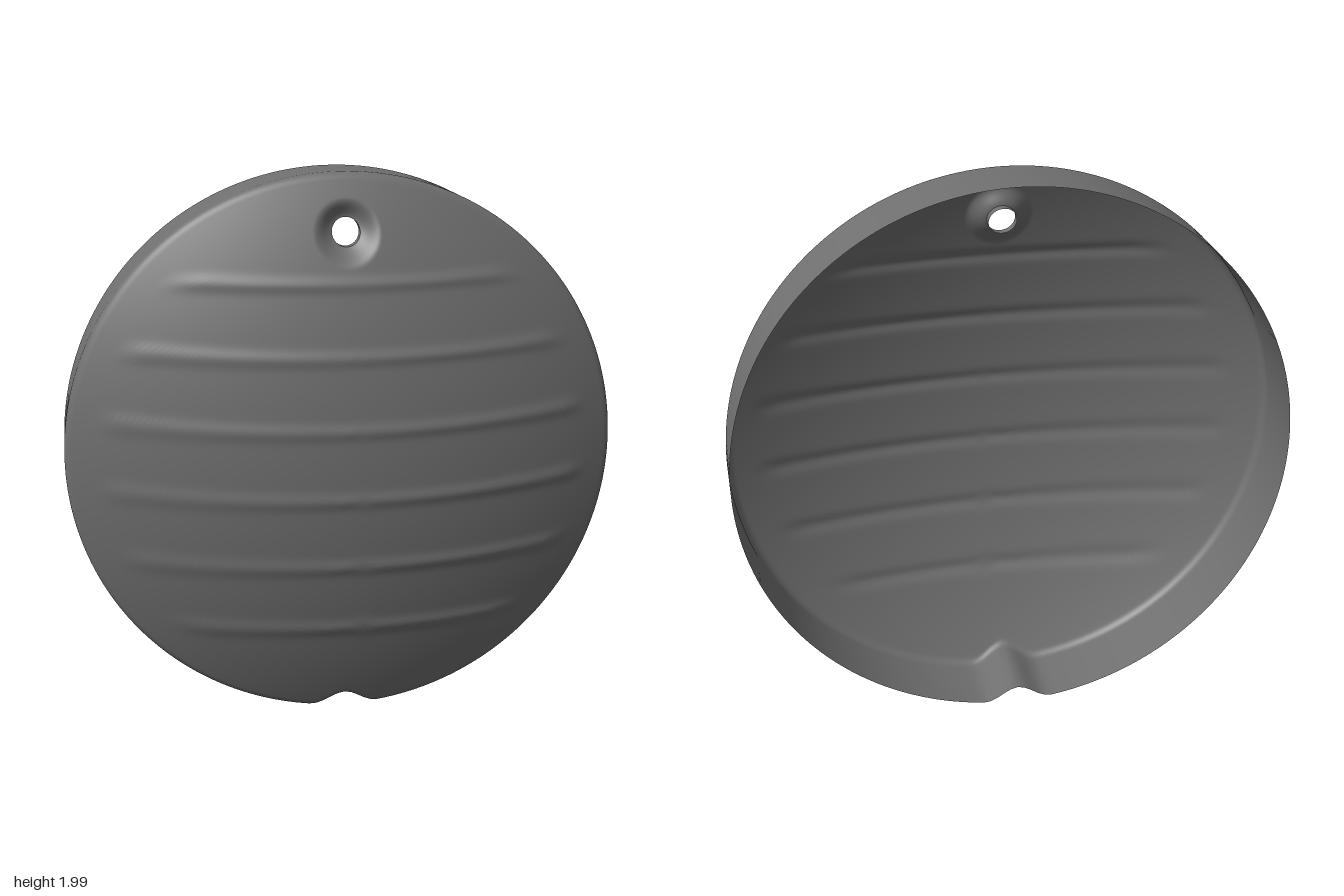
import * as THREE from 'three';

const CENTER_Y = 0.993, HOLE_Y = 1.79, HOLE_R = 0.05, BACK_Z = -0.25;
const SEGMENTS = 240, RINGS = 130, INSET = 0.975;
const RIBS = [0.36, 0.61, 0.865, 1.115, 1.37, 1.62];
const smooth = THREE.MathUtils.smoothstep;

// Round outline with a small bell-shaped notch at the bottom
function outline(angle, scale = 1) {
  const x = Math.cos(angle), y = Math.sin(angle);
  const notch = y < 0 && Math.abs(x) < 0.13 ? 0.03 * (1 + Math.cos(Math.PI * x / 0.13)) : 0;
  const r = (1 - notch) * scale;
  return [x * r, CENTER_Y + y * r];
}

// Height of the shallow dome with its ribs and the dimple around the hole
function height(x, y) {
  const R = 2.27, r = Math.hypot(x, y - CENTER_Y);
  let z = 0.246 - R + Math.sqrt(R * R - r * r);
  const fade = 1 - smooth(r, 0.8, 0.92);
  for (const ribY of RIBS) {
    const d = (y - ribY - 0.04 * x * x) / 0.022;
    z += 0.008 * fade * Math.exp(-d * d);
  }
  const h = Math.hypot(x, y - HOLE_Y);
  return z - 0.045 * (1 - smooth(h, HOLE_R - 0.01, 0.12));
}

// Joins rows of points, each a closed loop, into a smooth surface
function loft(rows) {
  const n = SEGMENTS, index = [];
  for (let i = 0; i < rows.length - 1; i++) {
    for (let j = 0; j < n; j++) {
      const k = (j + 1) % n;
      const a = i * n + j, b = (i + 1) * n + j, c = (i + 1) * n + k, d = i * n + k;
      index.push(a, b, c, a, c, d);
    }
  }
  const geometry = new THREE.BufferGeometry();
  geometry.setAttribute('position', new THREE.Float32BufferAttribute(rows.flat(2), 3));
  geometry.setIndex(index);
  geometry.computeVertexNormals();
  return geometry;
}

const loop = (point) => Array.from({ length: SEGMENTS }, (_, j) => point(j / SEGMENTS * Math.PI * 2));

// Point on the edge of the hole that faces the given outline angle
function holePoint(angle) {
  const [x, y] = outline(angle, INSET);
  const d = Math.hypot(x, y - HOLE_Y);
  return [x / d * HOLE_R, HOLE_Y + (y - HOLE_Y) / d * HOLE_R];
}

export function createModel() {
  const group = new THREE.Group();
  group.name = 'domedCover';
  const grey = new THREE.MeshStandardMaterial({ color: 0x707070, side: THREE.DoubleSide });
  grey.name = 'grey';
  const add = (name, rows) => {
    const mesh = new THREE.Mesh(loft(rows), grey);
    mesh.name = name;
    group.add(mesh);
  };

  // Ribbed front, spreading from the hole to the outline
  const shell = [];
  for (let i = 0; i <= RINGS; i++) {
    const s = Math.pow(i / RINGS, 1.25);
    shell.push(loop((angle) => {
      const [hx, hy] = holePoint(angle), [ox, oy] = outline(angle, INSET);
      const x = hx + (ox - hx) * s, y = hy + (oy - hy) * s;
      return [x, y, height(x, y)];
    }));
  }

  // Rounded shoulder and straight side wall, open at the back
  const a0 = 0.45;
  for (let i = 1; i <= 6; i++) {
    const a = a0 + (Math.PI / 2 - a0) * i / 6;
    const scale = INSET + (1 - INSET) * (Math.sin(a) - Math.sin(a0)) / (1 - Math.sin(a0));
    const drop = 0.035 * (1 - Math.cos(a) / Math.cos(a0));
    shell.push(loop((angle) => {
      const edge = height(...outline(angle, INSET));
      return [...outline(angle, scale), edge - drop];
    }));
  }
  for (const z of [-0.02, BACK_Z]) shell.push(loop((angle) => [...outline(angle), z]));
  add('shell', shell);

  // Short collar inside the hole
  add('holeCollar', [0.035, 0].map((depth) => loop((angle) => {
    const [x, y] = holePoint(angle);
    return [x, y, height(x, y) - depth];
  })));

  return group;
}
